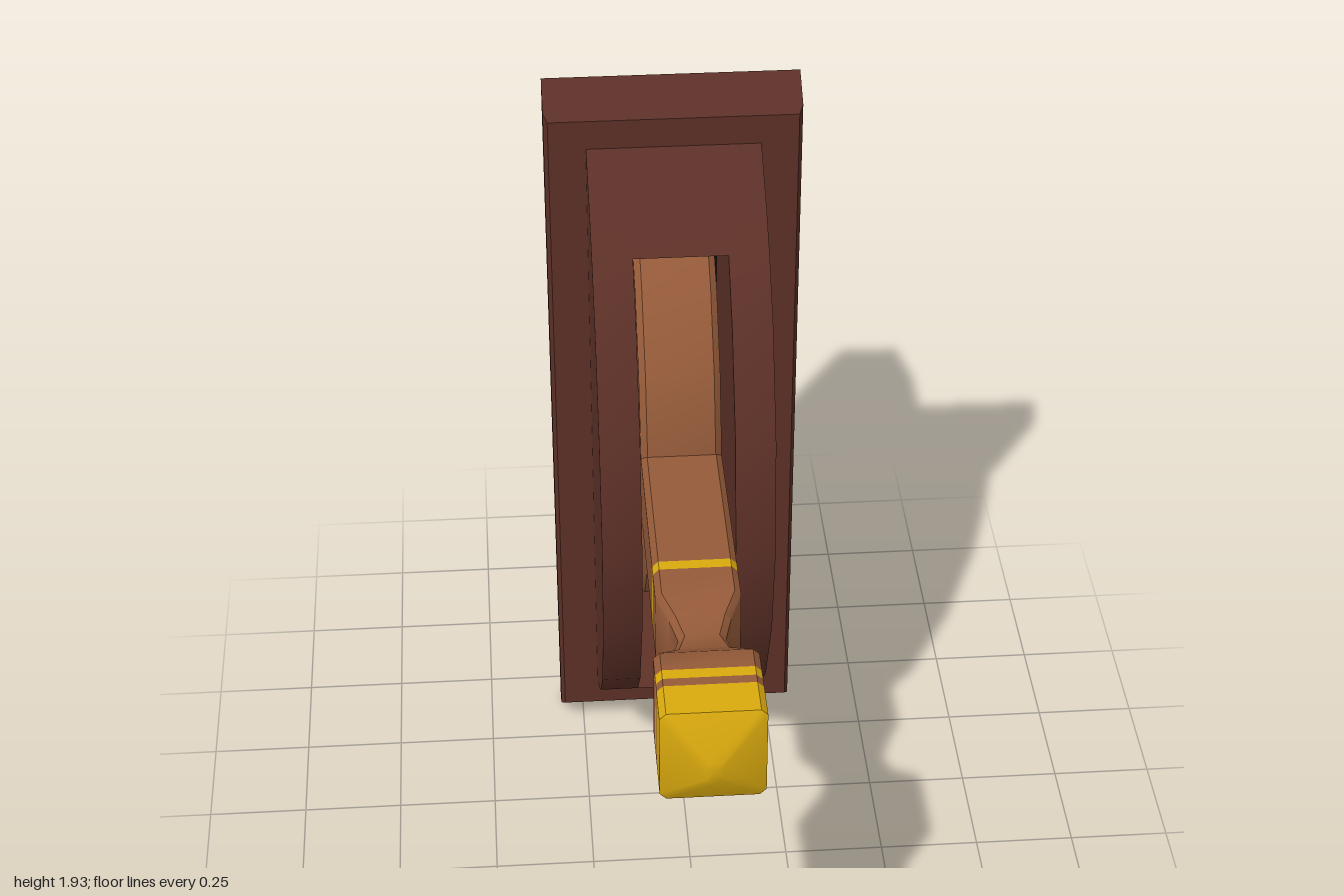
import * as THREE from 'three';
import { toCreasedNormals } from 'three/addons/utils/BufferGeometryUtils.js';

const MID = 0.965; // height of the lever axis

const material = (name, color, side = THREE.FrontSide) => {
  const m = new THREE.MeshStandardMaterial({ color, side });
  m.name = name;
  return m;
};

// Skin between successive closed rings (counter-clockwise seen from +z)
function loft(rings, crease = 0) {
  const pos = [];
  for (let r = 0; r + 1 < rings.length; r++) {
    const a = rings[r], b = rings[r + 1], n = a.length;
    for (let i = 0; i < n; i++) {
      const j = (i + 1) % n;
      pos.push(...a[i], ...a[j], ...b[j], ...a[i], ...b[j], ...b[i]);
    }
  }
  const g = new THREE.BufferGeometry();
  g.setAttribute('position', new THREE.Float32BufferAttribute(pos, 3));
  g.computeVertexNormals();
  return crease ? toCreasedNormals(g, crease) : g;
}

// Rectangular ring
const rect = (z, hx, y0, y1) => [[hx, y0, z], [hx, y1, z], [-hx, y1, z], [-hx, y0, z]];

// Rectangular ring with chamfered corners, centred on the lever axis
function chamfered(z, hx, hy) {
  const c = Math.min(0.015, hx * 0.3);
  return [[hx, -hy + c], [hx, hy - c], [hx - c, hy], [-hx + c, hy],
    [-hx, hy - c], [-hx, -hy + c], [-hx + c, -hy], [hx - c, -hy]].map(([x, y]) => [x, MID + y, z]);
}

// Curved strip following a [z, y] profile that runs upwards, from x0 to x1
function strip(profile, x0, x1) {
  const pos = [], index = [];
  profile.forEach(([z, y], i) => {
    pos.push(x0, y, z, x1, y, z);
    const k = 2 * i;
    if (i + 1 < profile.length) index.push(k, k + 1, k + 3, k, k + 3, k + 2);
  });
  const g = new THREE.BufferGeometry();
  g.setAttribute('position', new THREE.Float32BufferAttribute(pos, 3));
  g.setIndex(index);
  g.computeVertexNormals();
  return g;
}

// Flat side wall from a [z, y] outline
function wall(outline, x) {
  const g = new THREE.ShapeGeometry(new THREE.Shape(outline.map(p => new THREE.Vector2(...p))));
  return g.rotateY(-Math.PI / 2).translate(x, 0, 0);
}

export function createModel() {
  const model = new THREE.Group();
  model.name = 'wallLever';
  const casing = material('dark brown casing', 0x5c3027, THREE.DoubleSide);
  const wood = material('brown wood', 0x945a39);
  const gold = material('gold', 0xd9a90e);
  const black = material('black gap', 0x0b0b0b, THREE.DoubleSide);

  const add = (name, geometry, mat, parent = model) => {
    const mesh = new THREE.Mesh(geometry, mat);
    mesh.name = name;
    parent.add(mesh);
    return mesh;
  };

  // Wall plate: open-backed bevelled frame
  add('plate', loft([
    rect(-0.41, 0.31, 0, 1.93),
    rect(-0.33, 0.31, 0.05, 1.88),
    rect(-0.31, 0.3, 0.065, 1.865),
    rect(-0.31, 0.21, 0.14, 1.79),
  ]), casing);

  // Domed housing: hollow, with a long slot in its curved front
  const housing = new THREE.Group();
  housing.name = 'housing';
  model.add(housing);
  const upper = [[0.205, MID], [0.16, 1.245], [0.04, 1.495], [-0.075, 1.625], [-0.16, 1.695], [-0.31, 1.79]];
  const lower = upper.slice(1).reverse().map(([z, y]) => [z, 2 * MID - y]);
  const profile = [...lower, ...upper];
  const slot = profile.slice(2, -2);
  const rear = -0.405;
  const tunnel = [...slot, [rear, 1.56], [rear, 0.37]];
  for (const s of [-1, 1]) {
    add('housingSide', wall(profile, s * 0.21), casing, housing);
    add('slotSide', wall(tunnel, s * 0.113), casing, housing);
  }
  add('frontRight', strip(profile, -0.21, -0.113), casing, housing);
  add('frontLeft', strip(profile, 0.113, 0.21), casing, housing);
  add('frontBottom', strip(profile.slice(0, 3), -0.113, 0.113), casing, housing);
  add('frontTop', strip(profile.slice(-3), -0.113, 0.113), casing, housing);
  add('slotTop', strip([[rear, 1.56], slot[slot.length - 1]], -0.113, 0.113), casing, housing);
  add('slotBottom', strip([slot[0], [rear, 0.37]], -0.113, 0.113), casing, housing);

  // Dark gap closing the slot around the wheel
  add('slotGap', new THREE.PlaneGeometry(0.226, 1.19).translate(0, MID, rear), black);

  // Lever wheel: twenty-sided disc cut flat at the back
  const rim = [];
  for (let deg = -117; deg <= 117; deg += 18) {
    const a = THREE.MathUtils.degToRad(deg);
    rim.push(new THREE.Vector2(-0.7 + 0.66 * Math.cos(a), MID + 0.66 * Math.sin(a)));
  }
  const bevel = 0.016;
  const wheel = new THREE.ExtrudeGeometry(new THREE.Shape(rim), {
    depth: 0.2 - 2 * bevel, bevelThickness: bevel, bevelSize: bevel, bevelOffset: -bevel, bevelSegments: 1,
  });
  wheel.translate(0, 0, -0.1 + bevel).rotateY(-Math.PI / 2);
  add('wheel', toCreasedNormals(wheel, 0.5), wood);

  // Handle: stacked lengths of [z, half width, half height]
  const handle = new THREE.Group();
  handle.name = 'handle';
  model.add(handle);
  const lengths = [
    ['shaft', wood, [[-0.15, 0.1, 0.103], [0.37, 0.1, 0.103]]],
    ['shaftBand', gold, [[0.37, 0.1, 0.103], [0.4, 0.1, 0.103]]],
    ['neck', wood, [[0.4, 0.1, 0.103], [0.49, 0.1, 0.103], [0.55, 0.072, 0.082], [0.61, 0.055, 0.071],
      [0.67, 0.072, 0.082], [0.73, 0.12, 0.124], [0.79, 0.12, 0.124]]],
    ['gripBand', gold, [[0.79, 0.12, 0.124], [0.82, 0.12, 0.124]]],
    ['gripRing', wood, [[0.82, 0.12, 0.124], [0.845, 0.12, 0.124]]],
    ['tip', gold, [[0.845, 0.12, 0.124], [0.94, 0.12, 0.124], [1, 0.022, 0.026], [1, 0, 0]]],
  ];
  for (const [name, mat, sections] of lengths) {
    add(name, loft(sections.map(s => chamfered(...s)), 0.7), mat, handle);
  }
  return model;
}
